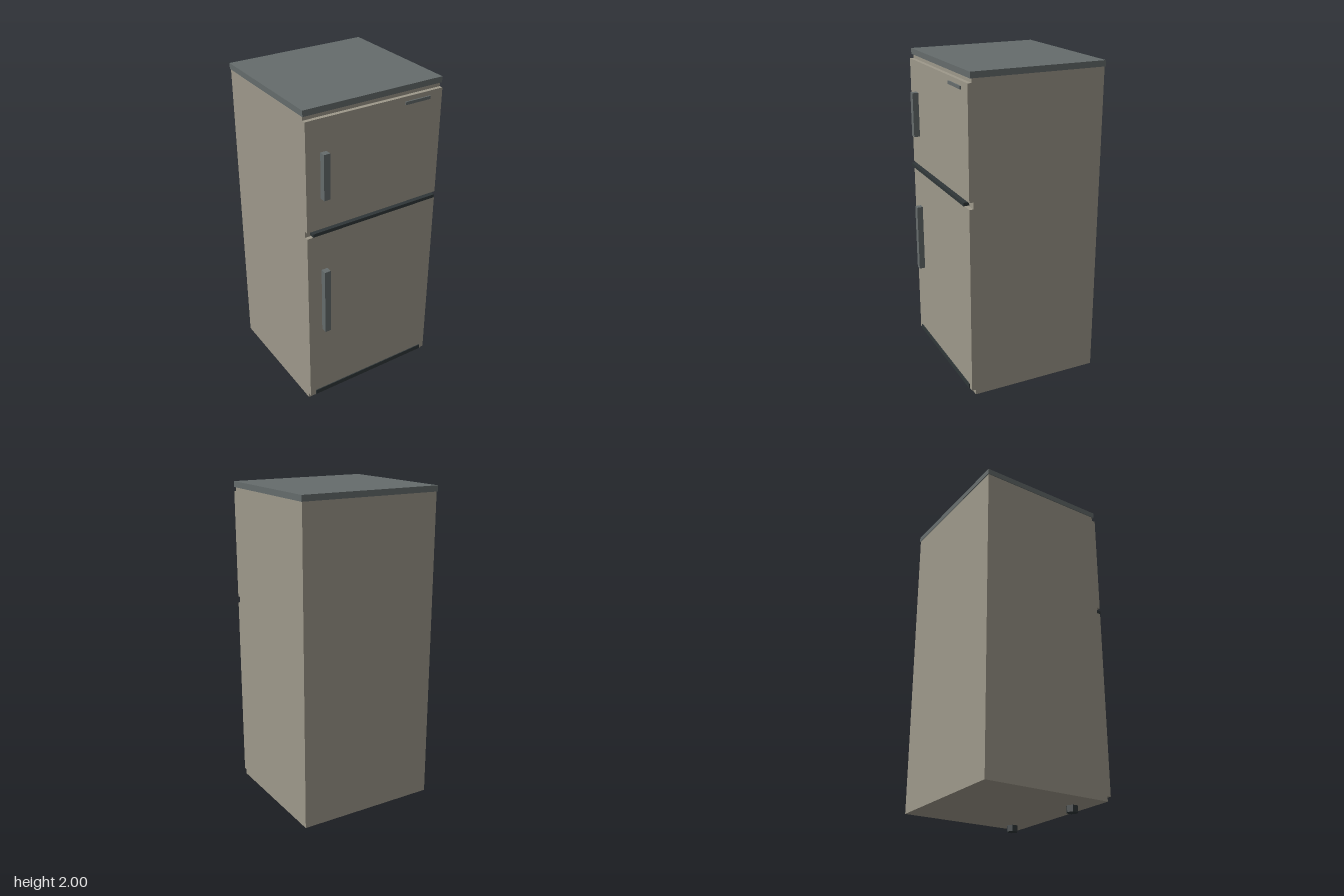
import * as THREE from 'three';

const material = (name, color) => {
  const m = new THREE.MeshStandardMaterial({ color, flatShading: true });
  m.name = name;
  return m;
};

export function createModel() {
  const enamel = material('beige enamel', 0x9d988a);
  const trim = material('grey trim', 0x656c6c);
  const rubber = material('dark rubber', 0x2f3638);

  const model = new THREE.Group();
  model.name = 'refrigerator';

  const add = (name, geometry, mat) => {
    const mesh = new THREE.Mesh(geometry, mat);
    mesh.name = name;
    model.add(mesh);
    return mesh;
  };

  // Box given by its lower and upper limit on each axis
  const box = (name, mat, [x0, x1], [y0, y1], [z0, z1]) =>
    add(name, new THREE.BoxGeometry(x1 - x0, y1 - y0, z1 - z0), mat)
      .position.set((x0 + x1) / 2, (y0 + y1) / 2, (z0 + z1) / 2);

  // Cabinet and worktop
  box('cabinet', enamel, [-0.442, 0.442], [0.053, 1.965], [-0.433, 0.376]);
  box('topSlab', trim, [-0.447, 0.447], [1.965, 2], [-0.437, 0.388]);

  // Doors
  box('freezerDoor', enamel, [-0.442, 0.442], [1.285, 1.94], [0.376, 0.4]);
  box('fridgeDoor', enamel, [-0.442, 0.442], [0.085, 1.245], [0.376, 0.4]);

  // Handles and badge plate
  box('freezerHandle', trim, [-0.353, -0.314], [1.477, 1.75], [0.4, 0.437]);
  box('fridgeHandle', trim, [-0.353, -0.314], [0.583, 1.011], [0.4, 0.437]);
  box('badgePlate', trim, [0.188, 0.356], [1.894, 1.912], [0.4, 0.408]);

  // Dark strips between the doors and along the bottom
  box('middleStrip', rubber, [-0.418, 0.418], [1.263, 1.283], [0.39, 0.425]);
  box('kickStrip', rubber, [-0.406, 0.406], [0.085, 0.114], [0.385, 0.406]);

  // Hexagonal front feet
  for (const side of [-1, 1]) {
    add(side < 0 ? 'rightFoot' : 'leftFoot', new THREE.CylinderGeometry(0.035, 0.035, 0.038, 6), rubber)
      .position.set(side * 0.3, 0.019, 0.234);
  }

  return model;
}
